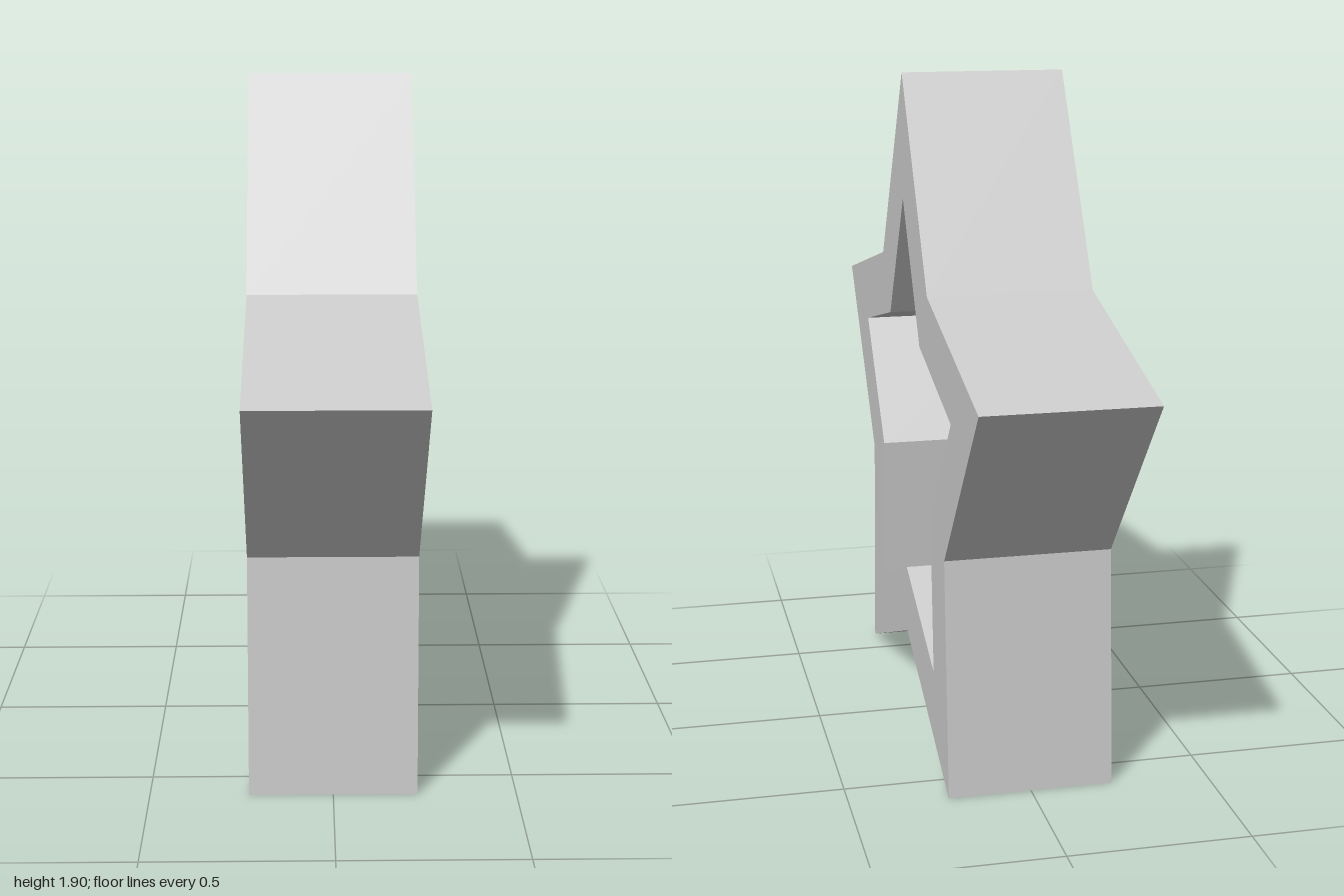
import * as THREE from 'three';

const R = 1 / Math.sin(Math.PI * 0.4); // tip radius giving a span of 2
const CENTRE_Y = R * Math.cos(Math.PI / 5); // lower tips rest on y = 0
const DEPTH = 0.46;

// Five-pointed star outline, alternating tip and notch radii
function starPoints(tip, notch) {
  return Array.from({ length: 10 }, (_, i) => {
    const a = Math.PI / 2 + (i * Math.PI) / 5;
    const r = i % 2 ? notch : tip;
    return new THREE.Vector2(r * Math.cos(a), r * Math.sin(a));
  });
}

export function createModel() {
  const group = new THREE.Group();
  group.name = 'star';

  // Star frame with a star-shaped opening
  const shape = new THREE.Shape(starPoints(R, 0.6));
  shape.holes.push(new THREE.Path(starPoints(0.7, 0.4).reverse()));

  const geometry = new THREE.ExtrudeGeometry(shape, { depth: DEPTH, bevelEnabled: false });
  geometry.translate(0, 0, -DEPTH / 2);
  geometry.rotateY(Math.PI / 2); // open faces look along x
  geometry.translate(0, CENTRE_Y, 0);

  const frame = new THREE.Mesh(
    geometry,
    new THREE.MeshStandardMaterial({ color: 0xcccccc, flatShading: true })
  );
  frame.name = 'starFrame';
  group.add(frame);
  return group;
}
